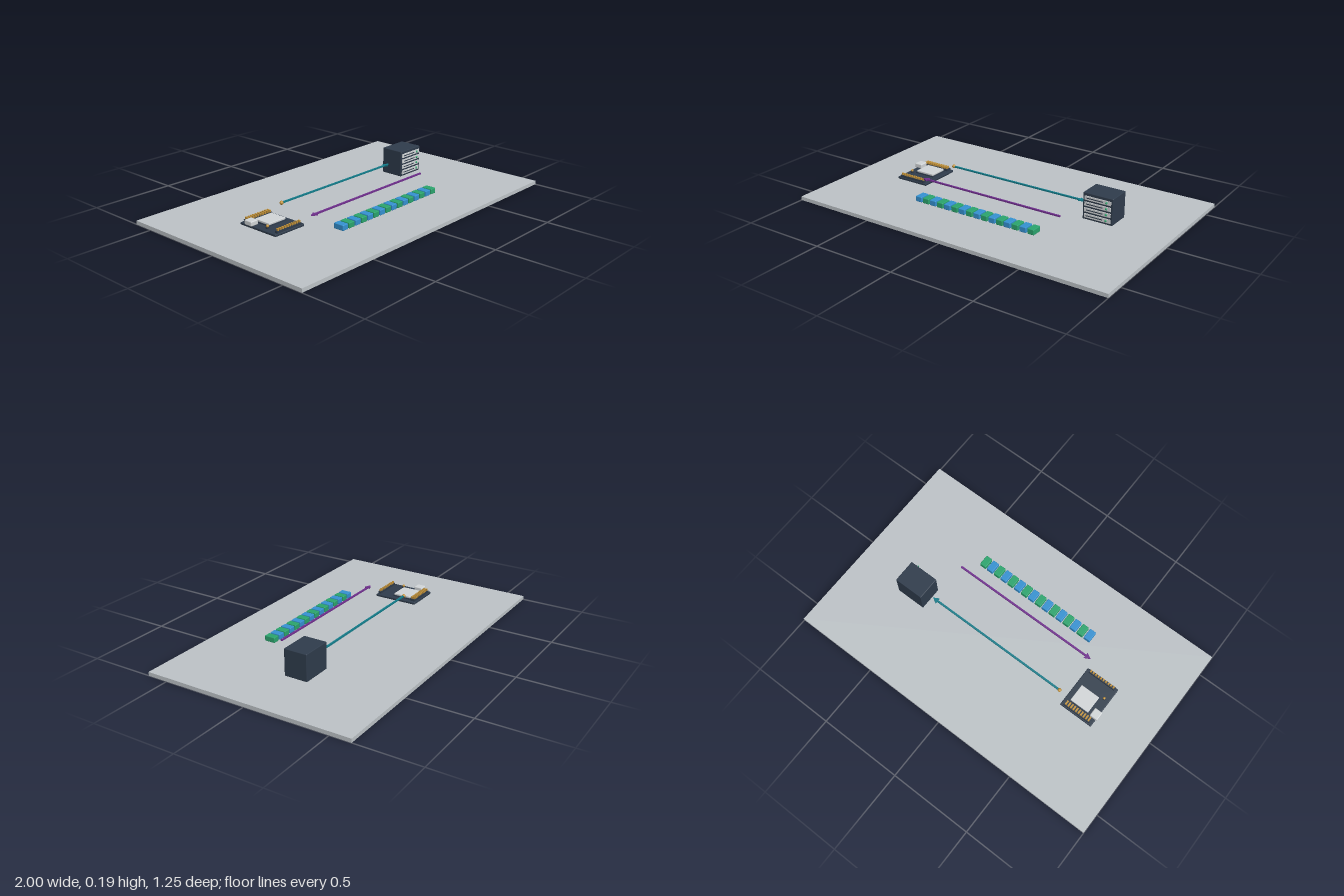
import * as THREE from 'three';
import { RoundedBoxGeometry } from 'three/addons/geometries/RoundedBoxGeometry.js';

const mat = (name, color) => {
  const m = new THREE.MeshStandardMaterial({ color });
  m.name = name;
  return m;
};

export function createModel() {
  const plateGrey = mat('plate grey', 0xbdc3c7);
  const slate = mat('dark slate', 0x2f3c4c);
  const silver = mat('silver', 0xd2d6d8);
  const blue = mat('blue', 0x3592d2);
  const green = mat('green', 0x2ba56e);
  const teal = mat('teal', 0x137c8a);
  const purple = mat('purple', 0x71308f);
  const gold = mat('gold', 0xc2923a);

  const model = new THREE.Group();
  model.name = 'networkDiorama';

  const group = (name) => {
    const g = new THREE.Group();
    g.name = name;
    model.add(g);
    return g;
  };
  const add = (parent, name, geo, material, x, y, z) => {
    const m = new THREE.Mesh(geo, material);
    m.name = name;
    m.position.set(x, y, z);
    parent.add(m);
    return m;
  };
  // Box given by its centre and size; r > 0 rounds the edges
  const box = (parent, name, material, [x, y, z], [w, h, d], r = 0) =>
    add(parent, name, r ? new RoundedBoxGeometry(w, h, d, 2, r) : new THREE.BoxGeometry(w, h, d), material, x, y, z);

  // Base plate
  box(model, 'basePlate', plateGrey, [0, 0.011, 0], [2, 0.022, 1.246]);

  // Server cabinet with four drive bays
  const server = group('server');
  box(server, 'cabinet', slate, [0.584, 0.11, -0.082], [0.182, 0.156, 0.14], 0.004);
  for (let i = 0; i < 4; i++) {
    const y = 0.056 + i * 0.0345;
    box(server, 'driveBay', silver, [0.584, y, -0.0105], [0.16, 0.023, 0.007]);
    box(server, 'baySlot', slate, [0.566, y, -0.0065], [0.1, 0.005, 0.002]);
    add(server, 'statusLight', new THREE.SphereGeometry(0.0065, 12, 8), green, 0.638, y, -0.006);
  }

  // Microcontroller board
  const board = group('controllerBoard');
  box(board, 'circuitBoard', slate, [-0.586, 0.045, -0.003], [0.21, 0.014, 0.266], 0.004);
  box(board, 'moduleBase', slate, [-0.574, 0.055, -0.031], [0.128, 0.006, 0.116]);
  box(board, 'shieldCan', silver, [-0.574, 0.063, -0.031], [0.12, 0.012, 0.108], 0.003);
  box(board, 'usbPort', silver, [-0.676, 0.066, -0.067], [0.05, 0.028, 0.054], 0.006);
  add(board, 'indicatorLight', new THREE.SphereGeometry(0.008, 12, 8), gold, -0.658, 0.066, 0.037);
  box(board, 'indicatorMount', slate, [-0.658, 0.056, 0.037], [0.014, 0.01, 0.014]);
  // Pin headers along both long edges
  for (const [z, depth] of [[-0.112, 0.026], [0.118, 0.012]]) {
    box(board, 'headerStrip', slate, [-0.586, 0.058, z], [0.175, 0.013, depth + 0.006]);
    for (let i = 0; i < 10; i++) {
      box(board, 'headerPin', gold, [-0.663 + i * 0.0171, 0.0705, z], [0.009, 0.013, depth]);
    }
  }

  // Flat arrows running between board and server
  const arrow = (name, material, tail, tip, z) => {
    const g = group(name);
    const y = 0.102, dir = Math.sign(tip - tail), neck = tip - dir * 0.034;
    box(g, 'shaft', material, [(tail + neck) / 2, y, z], [Math.abs(neck - tail), 0.008, 0.011]);
    const s = new THREE.Shape();
    s.moveTo(0, 0.018);
    s.lineTo(0, -0.018);
    s.lineTo(0.034, 0);
    s.closePath();
    const head = new THREE.ExtrudeGeometry(s, { depth: 0.008, bevelEnabled: false });
    head.translate(0, 0, -0.004).rotateX(-Math.PI / 2);
    if (dir < 0) head.rotateY(Math.PI);
    add(g, 'arrowhead', head, material, neck, y, z);
    return g;
  };
  const request = arrow('requestArrow', teal, -0.437, 0.465, -0.086);
  add(request, 'startBead', new THREE.SphereGeometry(0.011, 16, 10), gold, -0.437, 0.102, -0.086);
  arrow('responseArrow', purple, 0.457, -0.467, 0.165);

  // Row of alternating data blocks
  const blocks = group('dataBlocks');
  for (let i = 0; i < 16; i++) {
    box(blocks, 'dataBlock', i % 2 ? green : blue, [-0.375 + i * 0.05, 0.051, 0.292], [0.041, 0.032, 0.065], 0.004);
  }

  return model;
}
